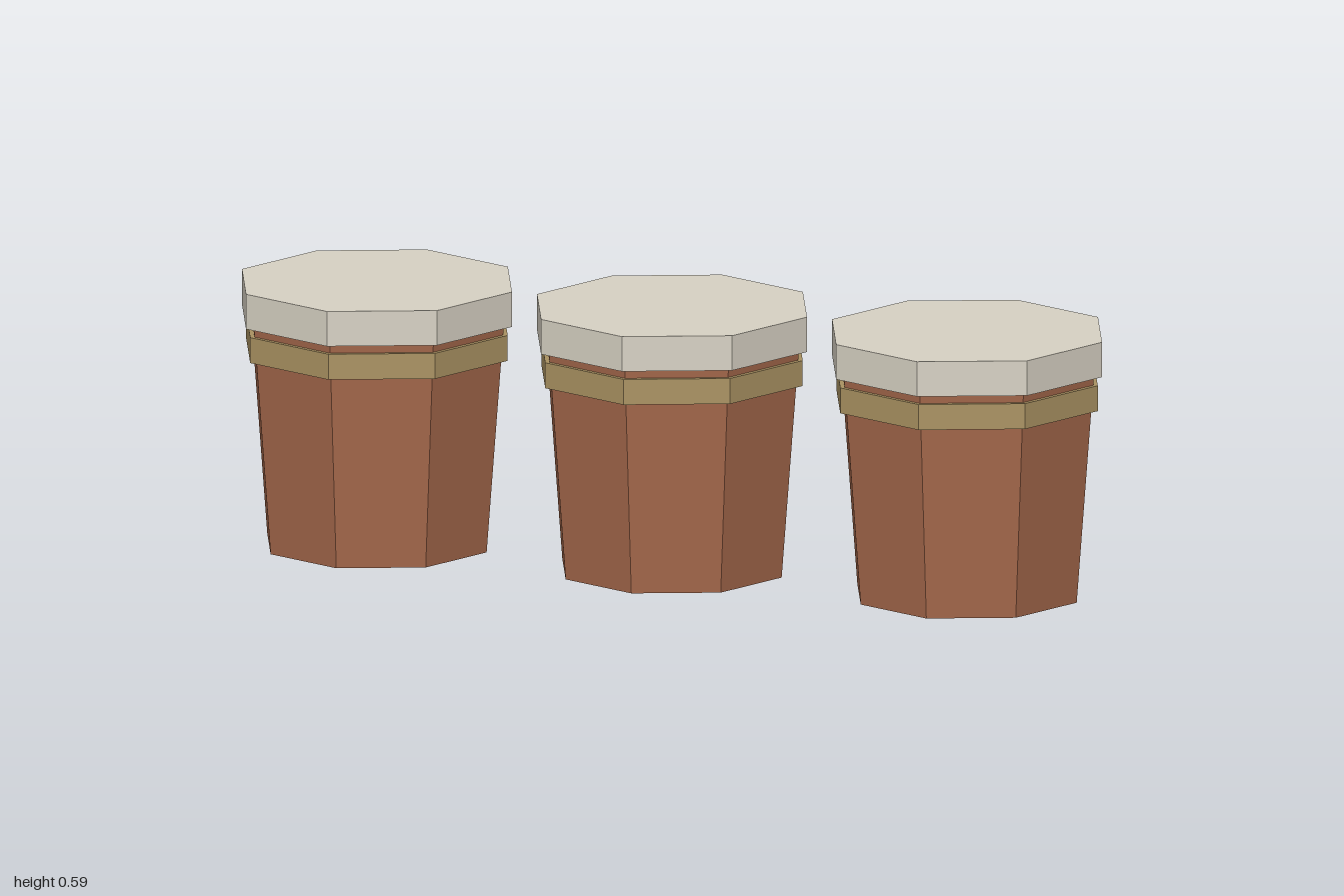
import * as THREE from 'three';

const SIDES = 8;

function material(color) {
  return new THREE.MeshStandardMaterial({ color, flatShading: true });
}

// Eight-sided drum section between two heights
function section(name, rBottom, rTop, y0, y1, mat) {
  const geometry = new THREE.CylinderGeometry(rTop, rBottom, y1 - y0, SIDES);
  geometry.translate(0, (y0 + y1) / 2, 0);
  const mesh = new THREE.Mesh(geometry, mat);
  mesh.name = name;
  return mesh;
}

export function createModel() {
  const model = new THREE.Group();
  model.name = 'drumRow';

  const wood = material(0xa5684b);
  const brass = material(0xaa9262);
  const skin = material(0xd8d2c4);

  // Three identical drums side by side
  ['rightDrum', 'middleDrum', 'leftDrum'].forEach((name, i) => {
    const drum = new THREE.Group();
    drum.name = name;
    drum.position.x = (i - 1) * 0.686;
    drum.add(
      section('shell', 0.255, 0.298, 0, 0.549, wood),
      section('hoop', 0.304, 0.304, 0.433, 0.49, brass),
      section('drumhead', 0.314, 0.314, 0.51, 0.588, skin)
    );
    model.add(drum);
  });

  return model;
}
